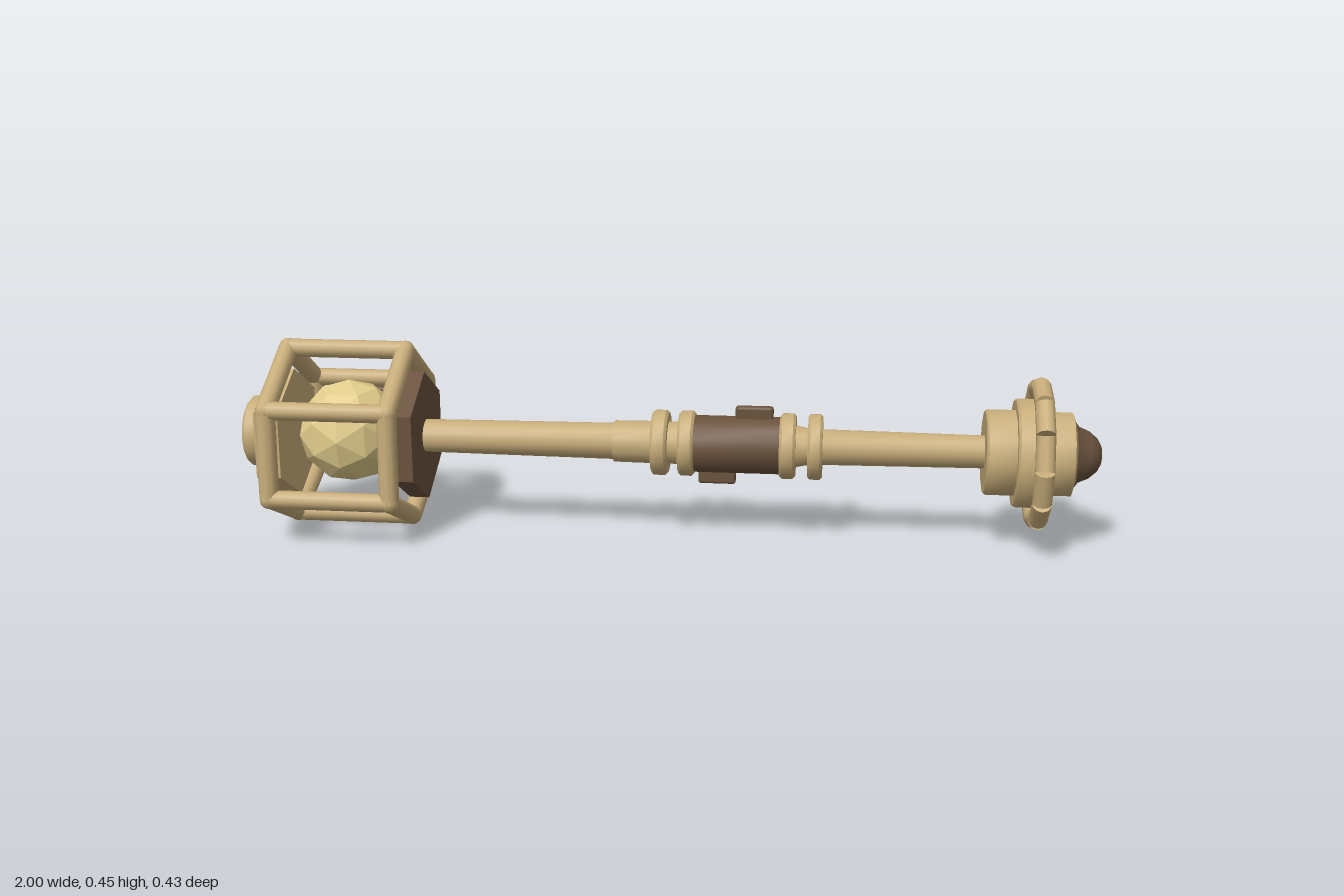
import * as THREE from 'three';
import { toCreasedNormals } from 'three/addons/utils/BufferGeometryUtils.js';
import { RoundedBoxGeometry } from 'three/addons/geometries/RoundedBoxGeometry.js';

const CY = 0.227, CZ = 0.005; // long axis of the staff runs along x here

export function createModel() {
  const model = new THREE.Group();
  const tan = new THREE.MeshStandardMaterial({ color: 0xc8ad7a });
  const dark = new THREE.MeshStandardMaterial({ color: 0x6a523d });
  const glow = new THREE.MeshStandardMaterial({ color: 0xe2cd8c, flatShading: true });

  const add = (name, geometry, material, x = 0, y = CY, z = CZ, parent = model) => {
    const mesh = new THREE.Mesh(geometry, material);
    mesh.name = name;
    mesh.position.set(x, y, z);
    parent.add(mesh);
    return mesh;
  };

  // Turned part around the long axis, profile given as [x, radius]
  const turned = (name, profile, material, sides = 16) => {
    const geo = new THREE.LatheGeometry(profile.map(([x, r]) => new THREE.Vector2(r, x)), sides);
    geo.rotateZ(-Math.PI / 2);
    return add(name, toCreasedNormals(geo, 0.7), material);
  };
  const disc = (name, x0, x1, r, material, sides = 16, b = 0.004) =>
    turned(name, [[x0, 0], [x0, r - b], [x0 + b, r], [x1 - b, r], [x1, r - b], [x1, 0]], material, sides);

  // Round bar between two points
  const bar = (name, a, b, r, material, parent) => {
    const dir = b.clone().sub(a);
    const mid = a.clone().add(b).multiplyScalar(0.5);
    const mesh = add(name, new THREE.CylinderGeometry(r, r, dir.length(), 10), material, mid.x, mid.y, mid.z, parent);
    mesh.quaternion.setFromUnitVectors(new THREE.Vector3(0, 1, 0), dir.normalize());
  };

  // Shaft
  turned('shaft', [[-0.6, 0], [-0.6, 0.039], [-0.12, 0.043], [-0.12, 0.049], [-0.03, 0.05], [0.07, 0.05],
    [0.3, 0.05], [0.34, 0.042], [0.75, 0.038], [0.75, 0]], tan);

  // Grip with its collars and studs
  disc('grip', 0.06, 0.28, 0.067, dark);
  for (const [x0, x1] of [[-0.03, 0.008], [0.033, 0.07], [0.268, 0.305], [0.333, 0.367]])
    disc('collar', x0, x1, 0.077, tan, 16, 0.006);
  add('topStud', new RoundedBoxGeometry(0.088, 0.04, 0.022, 2, 0.007), dark, 0.208, 0.3);
  add('bottomStud', new RoundedBoxGeometry(0.088, 0.04, 0.022, 2, 0.007), dark, 0.122, 0.152);

  // Lantern end plates
  const plate = (name, x0, x1, material) => {
    const geo = new THREE.CylinderGeometry(0.155, 0.155, x1 - x0, 6, 1, false, Math.PI / 2);
    geo.rotateZ(-Math.PI / 2);
    add(name, toCreasedNormals(geo, 0.5), material, (x0 + x1) / 2);
  };
  plate('outerPlate', -0.948, -0.89, tan);
  plate('innerPlate', -0.62, -0.573, dark);
  disc('endCap', -1, -0.94, 0.085, tan, 16, 0.006);

  // Lantern cage: two six-sided rings joined by long bars
  const cage = new THREE.Group();
  cage.name = 'cage';
  model.add(cage);
  const corners = [[0.433, 0.007], [0.323, 0.186], [0.114, 0.194], [0.027, 0.007], [0.114, -0.179], [0.323, -0.168]];
  const xs = [-0.9, -0.616];
  corners.forEach(([y, z], i) => {
    const [ny, nz] = corners[(i + 1) % 6];
    for (const x of xs) {
      bar('ringBar', new THREE.Vector3(x, y, z), new THREE.Vector3(x, ny, nz), 0.0225, tan, cage);
      add('joint', new THREE.SphereGeometry(0.023, 10, 8), tan, x, y, z, cage);
    }
    bar('longBar', new THREE.Vector3(xs[0], y, z), new THREE.Vector3(xs[1], y, z), 0.0215, tan, cage);
  });
  add('latch', new RoundedBoxGeometry(0.098, 0.08, 0.032, 2, 0.008), dark, -0.752, 0.256, -0.2);

  // Faceted light inside the cage
  add('lightBall', new THREE.IcosahedronGeometry(0.124, 1), glow, -0.757, 0.234);

  // Pommel
  turned('pommel', [[0.735, 0], [0.735, 0.096], [0.74, 0.101], [0.802, 0.101], [0.802, 0.123], [0.807, 0.128],
    [0.873, 0.128], [0.873, 0.099], [0.93, 0.098], [0.936, 0.08], [0.936, 0]], tan, 12);
  turned('pommelTip', [[0.92, 0.078], [0.938, 0.076], [0.945, 0.066], [0.968, 0.056], [0.988, 0.039],
    [0.997, 0.022], [1, 0]], dark, 12);

  // Broken ring of short rods around the pommel, open towards the back
  const rods = new THREE.Group();
  rods.name = 'pommelRing';
  model.add(rods);
  for (let i = 0; i < 10; i++) {
    const a = THREE.MathUtils.degToRad(45 + i * 30);
    const rod = add('ringRod', new THREE.CylinderGeometry(0.022, 0.022, 0.08, 10), tan,
      0.856, CY + 0.151 * Math.sin(a), CZ - 0.151 * Math.cos(a), rods);
    rod.rotation.x = a;
  }
  return model;
}
